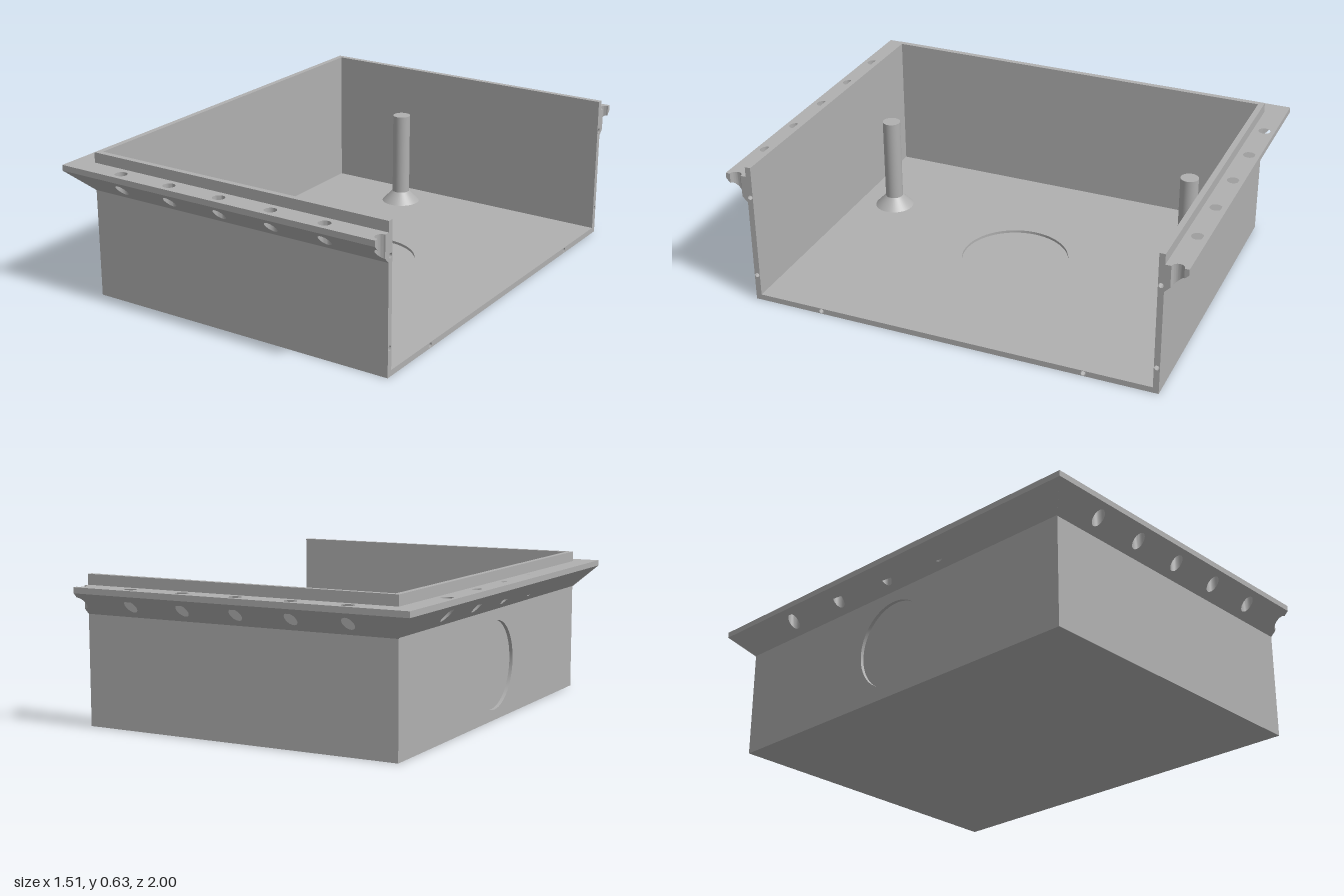
import * as THREE from 'three';
import { toCreasedNormals } from 'three/addons/utils/BufferGeometryUtils.js';

// Main dimensions
const XO = -0.665, XI = -0.64, XE = 0.757;   // end wall outer / inner face, open end
const ZO = 0.905, ZI = 0.88, H = 0.635;      // side wall outer / inner face, height
const T = 0.025, PIN = 0.7;                  // floor thickness, start of the drilled end frame
const FX = -0.757, FZ = 1, FTOP = 0.59, FLOW = 0.565; // flange edges and heights

export function createModel() {
  const group = new THREE.Group();
  const grey = new THREE.MeshStandardMaterial({ color: 0xb0b0b0 });
  grey.name = 'grey';

  const add = (name, geometry, x = 0, y = 0, z = 0) => {
    const mesh = new THREE.Mesh(geometry, grey);
    mesh.name = name;
    mesh.position.set(x, y, z);
    group.add(mesh);
    return mesh;
  };
  const box = (name, x0, x1, y0, y1, z0, z1) =>
    add(name, new THREE.BoxGeometry(x1 - x0, y1 - y0, z1 - z0),
      (x0 + x1) / 2, (y0 + y1) / 2, (z0 + z1) / 2);
  const polygon = (points) => new THREE.Shape(points.map(([a, b]) => new THREE.Vector2(a, b)));
  const rect = (a0, a1, b0, b1) => polygon([[a0, b0], [a1, b0], [a1, b1], [a0, b1]]);
  const drill = (shape, a, b, r) =>
    shape.holes.push(new THREE.Path().absarc(a, b, r, 0, Math.PI * 2, true));
  const extrude = (shape, depth, curveSegments = 12) =>
    new THREE.ExtrudeGeometry(shape, { depth, bevelEnabled: false, curveSegments });

  // Floor with a shallow round recess on its upper face
  box('floorBase', XI, PIN, 0, 0.013, -ZI, ZI);
  const floorTop = rect(XI, PIN, -ZI, ZI);
  drill(floorTop, 0.05, 0, 0.237);
  add('floorTop', toCreasedNormals(extrude(floorTop, T - 0.013, 32).rotateX(Math.PI / 2), 0.6), 0, T, 0);

  // End wall with a shallow round recess on its outer face
  box('endWallInner', XO + 0.015, XI, 0, H, -ZI, ZI);
  const endOuter = rect(-ZI, ZI, 0, H);
  drill(endOuter, 0, 0.235, 0.19);
  add('endWallOuter', toCreasedNormals(extrude(endOuter, 0.015, 32).rotateY(Math.PI / 2), 0.6), XO);

  // Long side walls
  box('frontWall', XO, PIN, 0, H, ZI, ZO);
  box('backWall', XO, PIN, 0, H, -ZO, -ZI);

  // U-shaped frame at the open end, drilled for alignment pins
  const frame = polygon([[-ZO, 0], [ZO, 0], [ZO, H], [ZI, H], [ZI, T], [-ZI, T], [-ZI, H], [-ZO, H]]);
  for (const s of [-1, 1]) {
    drill(frame, s * 0.8925, 0.12, 0.011);
    drill(frame, s * 0.8925, 0.495, 0.011);
    drill(frame, s * 0.59, 0.0125, 0.011);
  }
  add('openEndFrame', toCreasedNormals(extrude(frame, XE - PIN, 6).rotateY(Math.PI / 2), 0.8), PIN);

  // Flange piece: level top, outer lip, underside sloping down at 45 degrees to the wall
  const flange = (name, shape, edgeDistance) => {
    const geometry = extrude(shape, FTOP - FLOW, 10).rotateX(Math.PI / 2).translate(0, FTOP, 0);
    const p = geometry.attributes.position;
    for (let i = 0; i < p.count; i++) {
      if (p.getY(i) < FTOP - 0.01) p.setY(i, FLOW - edgeDistance(p.getX(i), p.getZ(i)));
    }
    add(name, toCreasedNormals(geometry, 0.7));
  };

  // Long flanges, mitred at one corner and cut through a bolt hole at the open end
  for (const s of [-1, 1]) {
    const shape = new THREE.Shape();
    shape.moveTo(FX, s * FZ);
    shape.lineTo(XO, s * ZO);
    shape.lineTo(XE, s * ZO);
    shape.absarc(XE, s * 0.955, 0.026, -s * Math.PI / 2, s * Math.PI / 2, s > 0);
    shape.lineTo(XE, s * FZ);
    for (let i = 0; i < 5; i++) drill(shape, -0.48 + i * 0.247, s * 0.955, 0.026);
    flange(s > 0 ? 'frontFlange' : 'backFlange', shape, (x, z) => FZ - Math.abs(z));
  }

  // End flange
  const endFlange = polygon([[FX, -FZ], [XO, -ZO], [XO, ZO], [FX, FZ]]);
  for (let i = -2; i <= 2; i++) drill(endFlange, -0.713, i * 0.294, 0.026);
  flange('endFlange', endFlange, (x) => x - FX);

  // Posts with conical feet
  for (const s of [-1, 1]) {
    add('post', new THREE.CylinderGeometry(0.04, 0.04, 0.38, 40), -0.185, 0.265, s * 0.715);
    add('postFoot', new THREE.CylinderGeometry(0.04, 0.088, 0.05, 40), -0.185, 0.05, s * 0.715);
  }
  return group;
}
